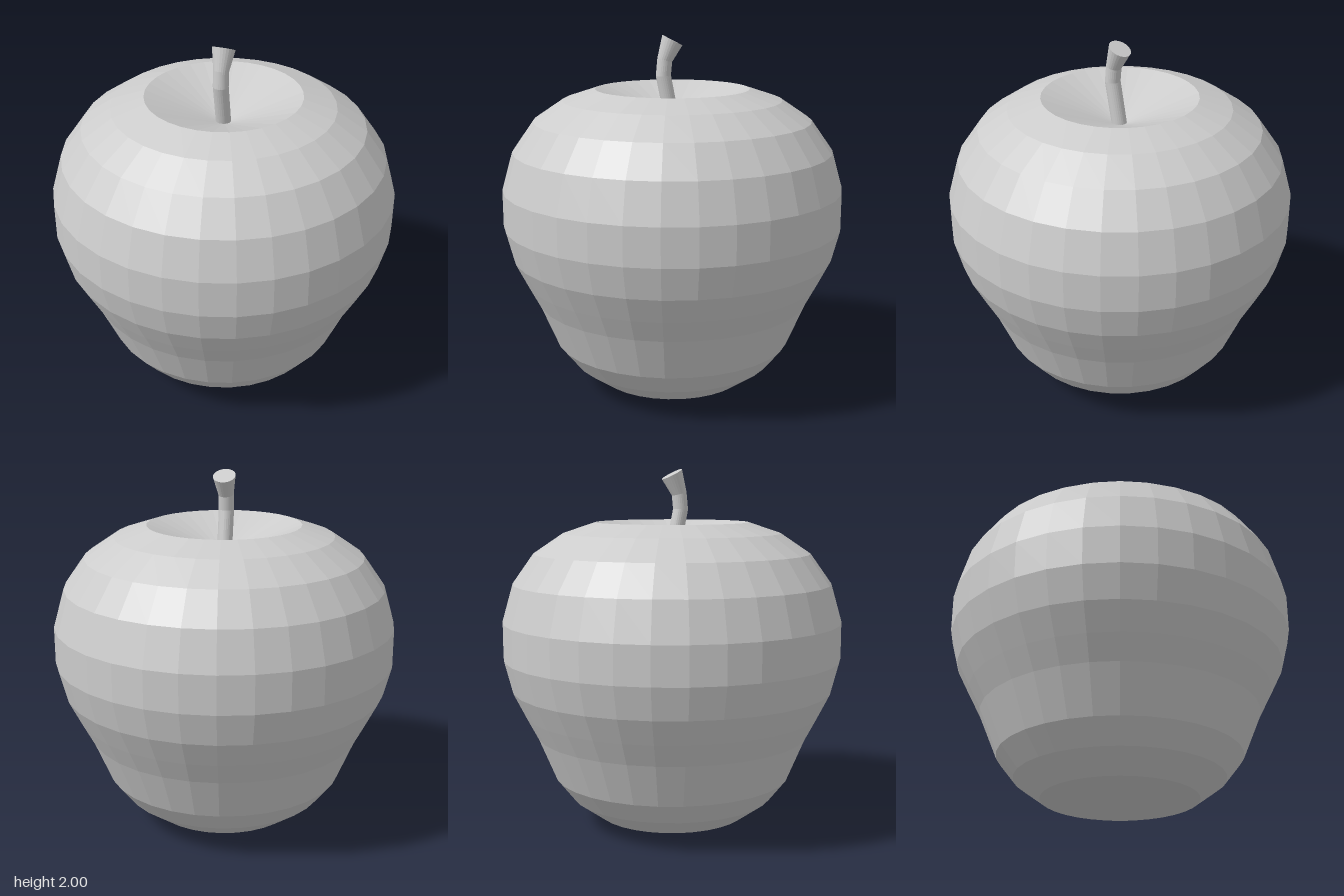
import * as THREE from 'three';

const material = new THREE.MeshStandardMaterial({ color: 0xcccccc, flatShading: true });

function facetedMesh(name, geometry) {
  const flat = geometry.toNonIndexed();
  flat.computeVertexNormals();
  const mesh = new THREE.Mesh(flat, material);
  mesh.name = name;
  return mesh;
}

// Fruit body: one lathed profile, with a shallow dimple below and a deep hollow on top
function createBody() {
  const profile = [
    [0, 0.05], [0.22, 0], [0.425, 0.055], [0.57, 0.16], [0.665, 0.28],
    [0.765, 0.52], [0.83, 0.645], [0.9, 0.785], [0.945, 0.96], [0.945, 1.165],
    [0.885, 1.375], [0.768, 1.54], [0.605, 1.65], [0.425, 1.71], [0, 1.54],
  ].map(([r, y]) => new THREE.Vector2(r, y));
  return facetedMesh('body', new THREE.LatheGeometry(profile, 32));
}

// Stem: a cylinder whose rings are moved along a bent spine and flared at the tip
function createStem() {
  const rings = [
    { y: 1.5, z: -0.005, r: 0.041, tilt: 0.15 },
    { y: 1.78, z: 0.05, r: 0.042, tilt: 0.05 },
    { y: 1.865, z: 0.042, r: 0.042, tilt: -0.25 },
    { y: 1.972, z: 0, r: 0.062, tilt: -0.48 },
  ];
  const geometry = new THREE.CylinderGeometry(1, 1, 1, 24, rings.length - 1);
  const pos = geometry.attributes.position;
  for (let i = 0; i < pos.count; i++) {
    const ring = rings[Math.round((pos.getY(i) + 0.5) * (rings.length - 1))];
    const x = pos.getX(i) * ring.r;
    const z = pos.getZ(i) * ring.r;
    pos.setXYZ(i, x, ring.y - z * Math.sin(ring.tilt), ring.z + z * Math.cos(ring.tilt));
  }
  return facetedMesh('stem', geometry);
}

export function createModel() {
  const apple = new THREE.Group();
  apple.name = 'apple';
  apple.add(createBody(), createStem());
  return apple;
}
